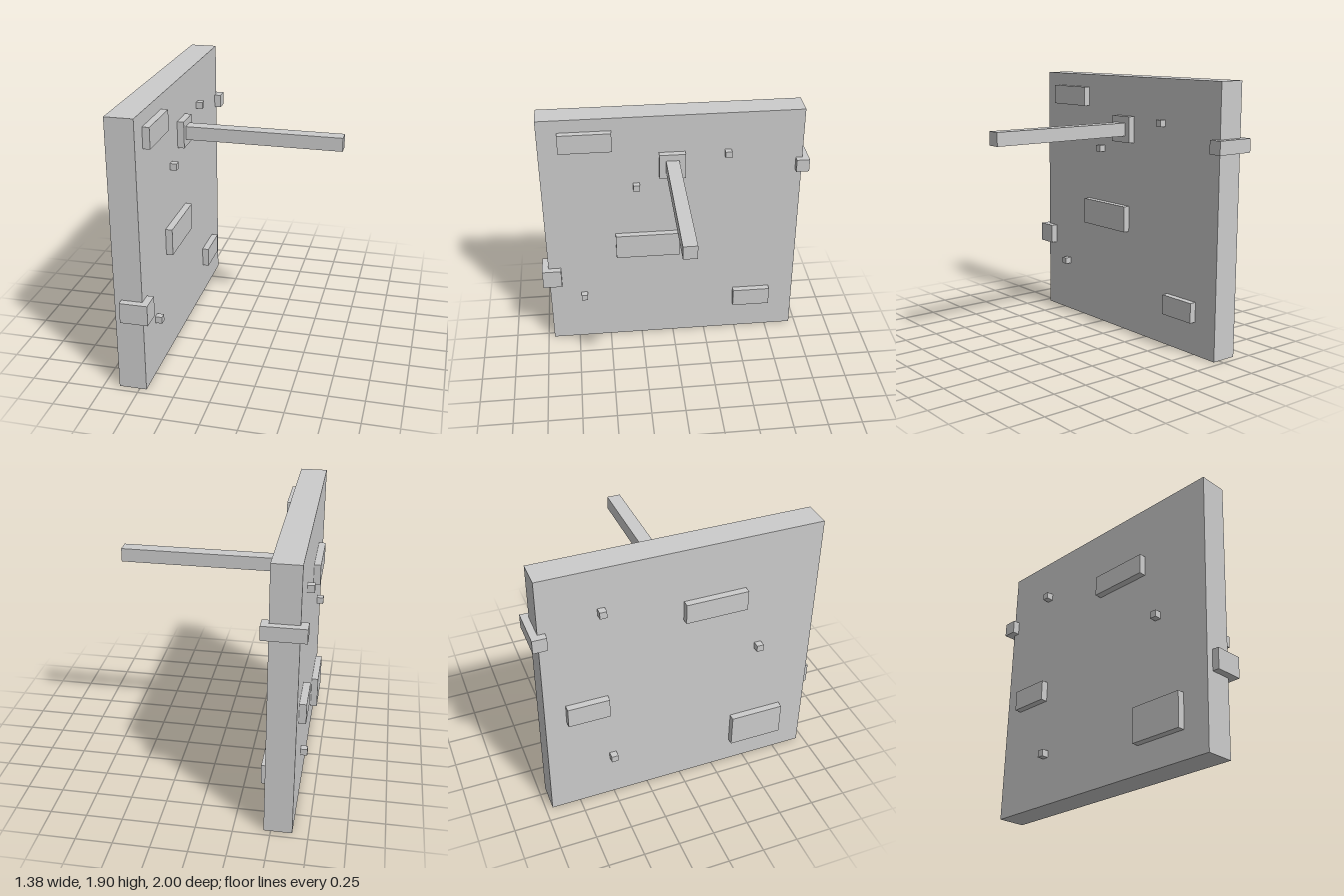
import * as THREE from 'three';

const U = 1 / 21; // modelling unit: all parts sit on this grid
const material = new THREE.MeshStandardMaterial({ color: 0xcccccc, flatShading: true });

// Box from its low and high corners, in grid units
function block(name, [x0, x1], [y0, y1], [z0, z1]) {
  const geometry = new THREE.BoxGeometry((x1 - x0) * U, (y1 - y0) * U, (z1 - z0) * U);
  const mesh = new THREE.Mesh(geometry, material);
  mesh.name = name;
  mesh.position.set((x0 + x1) / 2 * U, (y0 + y1) / 2 * U, (z0 + z1) / 2 * U);
  return mesh;
}

export function createModel() {
  const model = new THREE.Group();
  model.name = 'slabWithRod';

  // Thin square slab, with the two faces its raised pieces sit on
  const slab = [-13.5, -9.5];
  const leftFace = [-9.5, -8.5];
  const rightFace = [-14.5, -13.5];
  model.add(block('slab', slab, [0, 40], [-20, 20]));

  // Rod and its mounting plate
  model.add(block('rodMount', leftFace, [30, 34], [-2, 2]));
  model.add(block('rod', [-8.5, 14.5], [31, 33], [-1, 1]));

  // Clips wrapping the front and back edges
  model.add(block('frontClip', [-12.5, -8.5], [11, 14], [18, 21]));
  model.add(block('backClip', [-14.5, -8.5], [30, 32], [-21, -19]));

  // Raised plates and studs: y range, z range
  const left = [
    ['Plate', [35, 38], [9, 17]],
    ['Plate', [16, 20], [-1, 9]],
    ['Plate', [5, 8], [-16, -10]],
    ['Stud', [28, 29], [5, 6]],
    ['Stud', [33, 34], [-9, -8]],
    ['Stud', [8, 9], [14, 15]],
  ];
  const right = [
    ['Plate', [29, 32], [0, 9]],
    ['Plate', [16, 19], [-17, -11]],
    ['Plate', [4, 9], [8, 16]],
    ['Stud', [33, 34], [-12, -11]],
    ['Stud', [21, 22], [11, 12]],
    ['Stud', [7, 8], [-11, -10]],
  ];
  for (const [kind, y, z] of left) model.add(block('left' + kind, leftFace, y, z));
  for (const [kind, y, z] of right) model.add(block('right' + kind, rightFace, y, z));

  return model;
}
